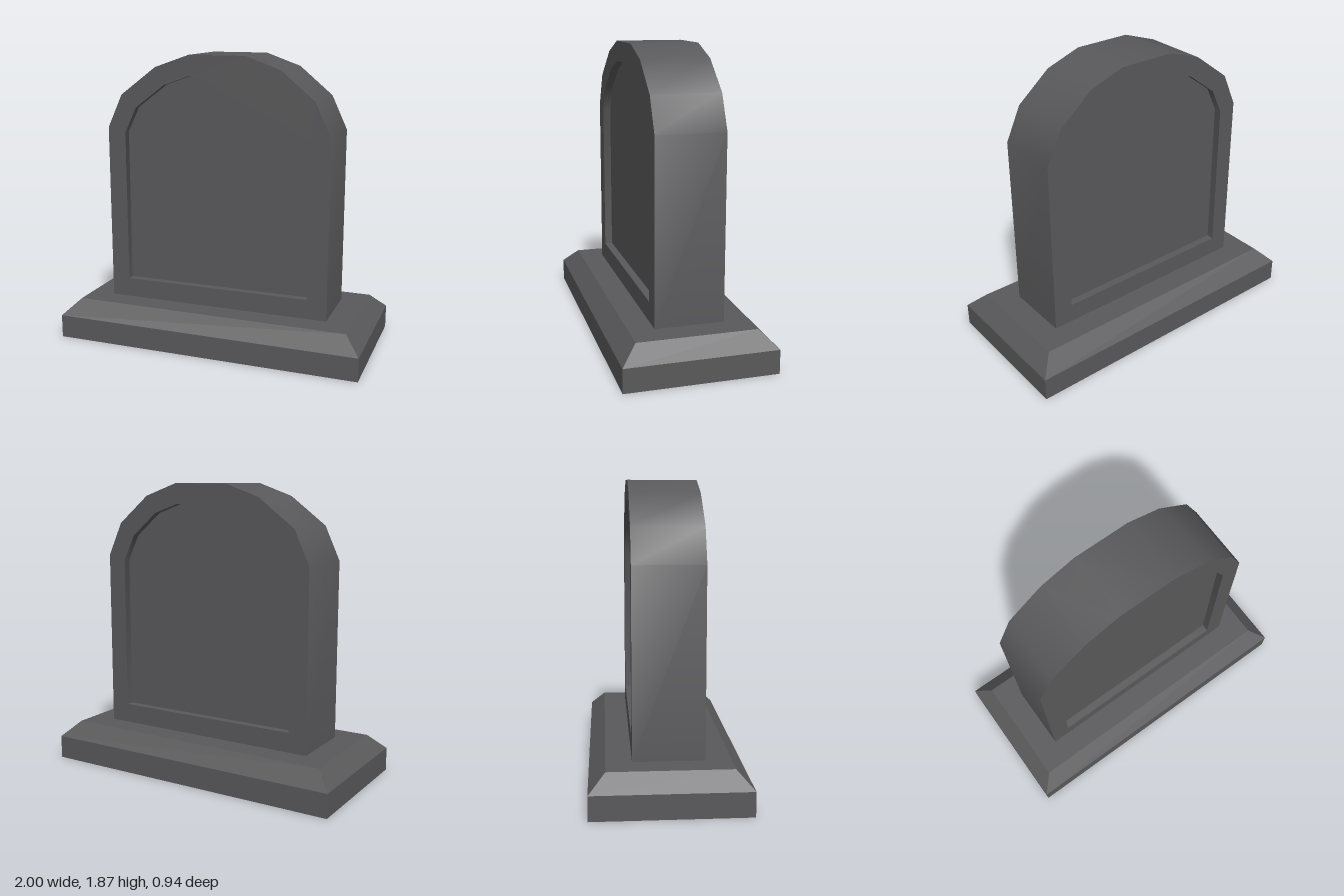
import * as THREE from 'three';
import { toCreasedNormals } from 'three/addons/utils/BufferGeometryUtils.js';

const stone = new THREE.MeshStandardMaterial({ color: 0x59595b });
stone.name = 'dark stone';

const BASE = { width: 2, depth: 0.94, height: 0.25, edge: 0.15, bevel: 0.1 };
const SLAB_DEPTH = 0.43;
const RECESS = 0.05;

// Arched outlines, counter-clockwise from the bottom left
const outer = [
  [-0.74, 0.25], [0.74, 0.25], [0.74, 1.395], [0.64, 1.61], [0.425, 1.79],
  [0.2, 1.87], [-0.17, 1.87], [-0.4, 1.79], [-0.64, 1.61], [-0.74, 1.395],
];
const inner = [
  [-0.62, 0.375], [0.615, 0.375], [0.615, 1.365], [0.535, 1.53], [0.36, 1.68],
  [0.185, 1.742], [-0.16, 1.742], [-0.34, 1.68], [-0.54, 1.53], [-0.62, 1.365],
];
const toPoints = (list) => list.map(([x, y]) => new THREE.Vector2(x, y));

function addMesh(parent, name, geometry) {
  const mesh = new THREE.Mesh(geometry, stone);
  mesh.name = name;
  parent.add(mesh);
  return mesh;
}

// Plinth: a box whose top ring is drawn in to make the bevel
function plinthGeometry() {
  const { width, depth, height, edge, bevel } = BASE;
  const box = new THREE.BoxGeometry(width, height, depth, 1, 2, 1);
  const p = box.attributes.position;
  for (let i = 0; i < p.count; i++) {
    const y = p.getY(i);
    if (y > 0.01) {
      p.setXYZ(i, p.getX(i) - Math.sign(p.getX(i)) * bevel, height,
        p.getZ(i) - Math.sign(p.getZ(i)) * bevel);
    } else {
      p.setY(i, y < -0.01 ? 0 : edge);
    }
  }
  const flat = box.toNonIndexed();
  flat.computeVertexNormals();
  return flat;
}

export function createModel() {
  const model = new THREE.Group();
  model.name = 'headstone';

  addMesh(model, 'plinth', plinthGeometry());

  // Arched slab with a raised border around the opening
  const slabShape = new THREE.Shape(toPoints(outer));
  slabShape.holes.push(new THREE.Path(toPoints(inner).reverse()));
  const slab = new THREE.ExtrudeGeometry(slabShape, { depth: SLAB_DEPTH, bevelEnabled: false });
  slab.translate(0, 0, -SLAB_DEPTH / 2);
  addMesh(model, 'archedSlab', toCreasedNormals(slab, 0.6));

  // Sunken panels on the front and back
  const panelDepth = SLAB_DEPTH - 2 * RECESS;
  const front = new THREE.ShapeGeometry(new THREE.Shape(toPoints(inner)));
  front.translate(0, 0, panelDepth / 2);
  addMesh(model, 'frontPanel', front);

  const backOutline = inner.map(([x, y]) => [-x, y]).reverse();
  const back = new THREE.ShapeGeometry(new THREE.Shape(toPoints(backOutline)));
  back.rotateY(Math.PI).translate(0, 0, -panelDepth / 2);
  addMesh(model, 'backPanel', back);

  return model;
}
